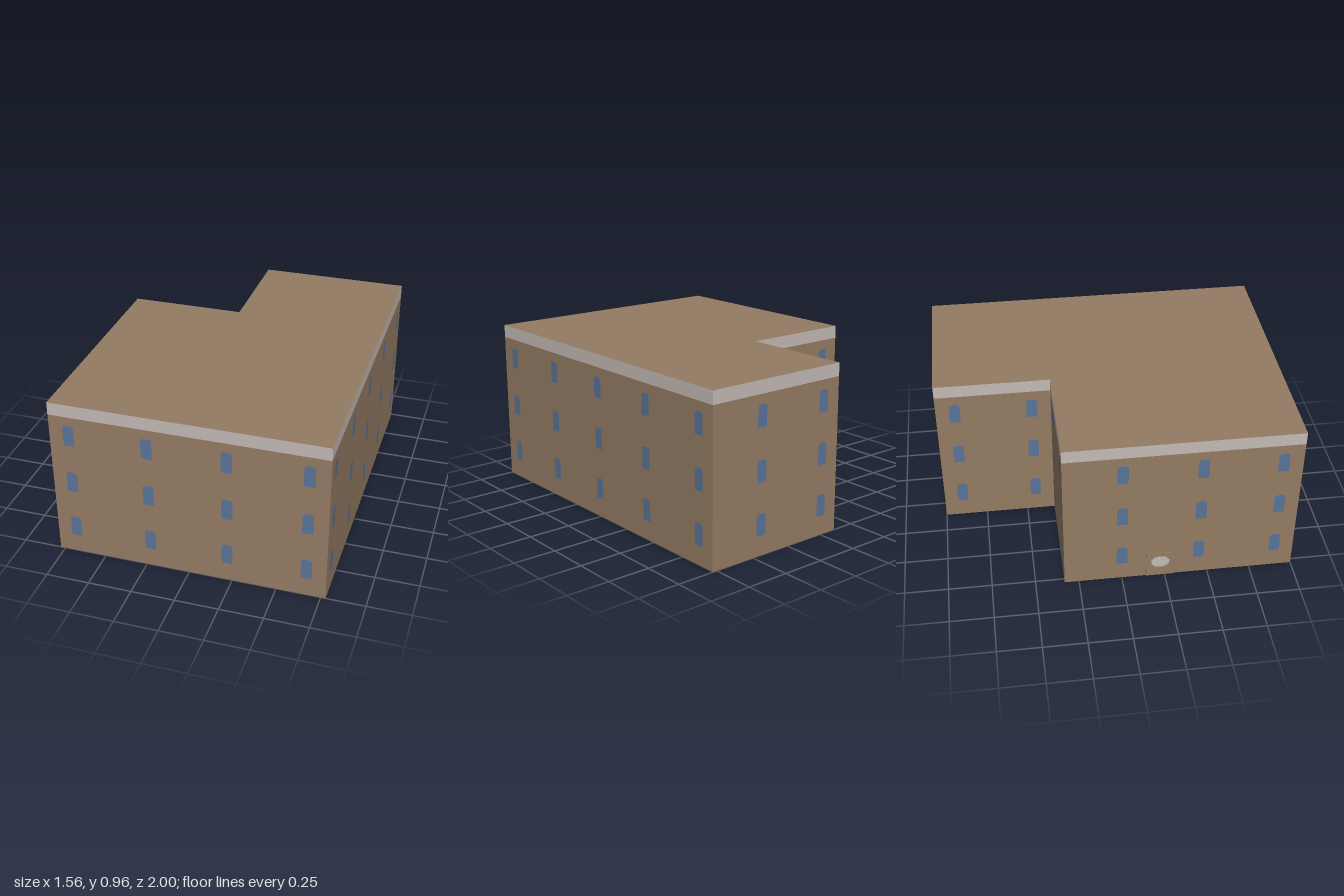
import * as THREE from 'three';

const HEIGHT = 0.965, TRIM_Y = 0.89, TILE = 4 / 9;
const ROWS = [0.112, 0.411, 0.71]; // window sill heights

function mat(name, color) {
  const m = new THREE.MeshStandardMaterial({ color, side: THREE.DoubleSide });
  m.name = name;
  return m;
}

// Footprint corners (x, z), counter-clockwise from above, and distance to the first window
const CORNERS = [
  { name: 'frontWall', x: -0.778, z: 1, first: 0.111 },
  { name: 'leftWall', x: 0.778, z: 1, first: 0.111 },
  { name: 'backWall', x: 0.778, z: -1, first: 0.333 },
  { name: 'notchSideWall', x: -0.111, z: -1, first: 0.111 },
  { name: 'notchBackWall', x: -0.111, z: -0.333, first: 0.111 },
  { name: 'rightWall', x: -0.778, z: -0.333, first: 0.333, door: 0.555 },
];

const polygon = (pts) => pts.map(([x, y]) => new THREE.Vector2(x, y));

const rectangle = (x0, y0, x1, y1) => polygon([[x0, y0], [x1, y0], [x1, y1], [x0, y1]]);

// Window outline: tall pane with clipped top corners
function windowOutline(u, y) {
  const w = 0.031, h = 0.125, c = 0.013, b = 0.004;
  return polygon([
    [u - w + b, y], [u + w - b, y], [u + w, y + b], [u + w, y + h - c],
    [u + w - c, y + h], [u - w + c, y + h], [u - w, y + h - c], [u - w, y + b],
  ]);
}

export function createModel() {
  const brick = mat('brown wall', 0x947b63);
  const stone = mat('pale trim', 0xc3b9b4);
  const glass = mat('blue glass', 0x58749a);

  const model = new THREE.Group();
  model.name = 'building';

  const add = (parent, name, geometry, material) => {
    const mesh = new THREE.Mesh(geometry, material);
    mesh.name = name;
    parent.add(mesh);
    return mesh;
  };

  CORNERS.forEach((a, i) => {
    const b = CORNERS[(i + 1) % CORNERS.length];
    const length = Math.hypot(b.x - a.x, b.z - a.z);
    const side = new THREE.Group();
    side.name = a.name;
    side.position.set(a.x, 0, a.z);
    side.rotation.y = Math.atan2(a.z - b.z, b.x - a.x);
    model.add(side);

    // Wall sheet with openings, panes set flush in them
    const wall = new THREE.Shape(rectangle(0, 0, length, TRIM_Y));
    const panes = [];
    for (let u = a.first; u < length - 0.05; u += TILE) {
      for (const y of ROWS) {
        const outline = windowOutline(u, y);
        wall.holes.push(new THREE.Path(outline));
        panes.push(new THREE.Shape(outline));
      }
    }

    // Door slab with a round light, seen from inside and outside
    if (a.door) {
      const w = 0.165, h = 0.17, gap = 0.001;
      wall.holes.push(new THREE.Path(
        rectangle(a.door - w / 2, gap, a.door + w / 2, h)));
      const door = add(side, 'door', new THREE.BoxGeometry(w, h, 0.009), brick);
      door.position.set(a.door, h / 2, 0);
      const light = add(side, 'doorLight',
        new THREE.CylinderGeometry(0.055, 0.055, 0.013, 10).rotateX(Math.PI / 2), stone);
      light.scale.y = 0.75;
      light.position.set(a.door, 0.105, 0);
    }

    add(side, 'wall', new THREE.ShapeGeometry(wall), brick);
    add(side, 'windows', new THREE.ShapeGeometry(panes), glass);
    add(side, 'trim',
      new THREE.ShapeGeometry(new THREE.Shape(rectangle(0, TRIM_Y, length, HEIGHT))), stone);
  });

  // Flat roof; the underside of the building stays open
  const plan = new THREE.Shape(polygon(CORNERS.map((c) => [c.x, -c.z])));
  const roof = add(model, 'roof', new THREE.ShapeGeometry(plan).rotateX(-Math.PI / 2), brick);
  roof.position.y = HEIGHT;

  return model;
}
